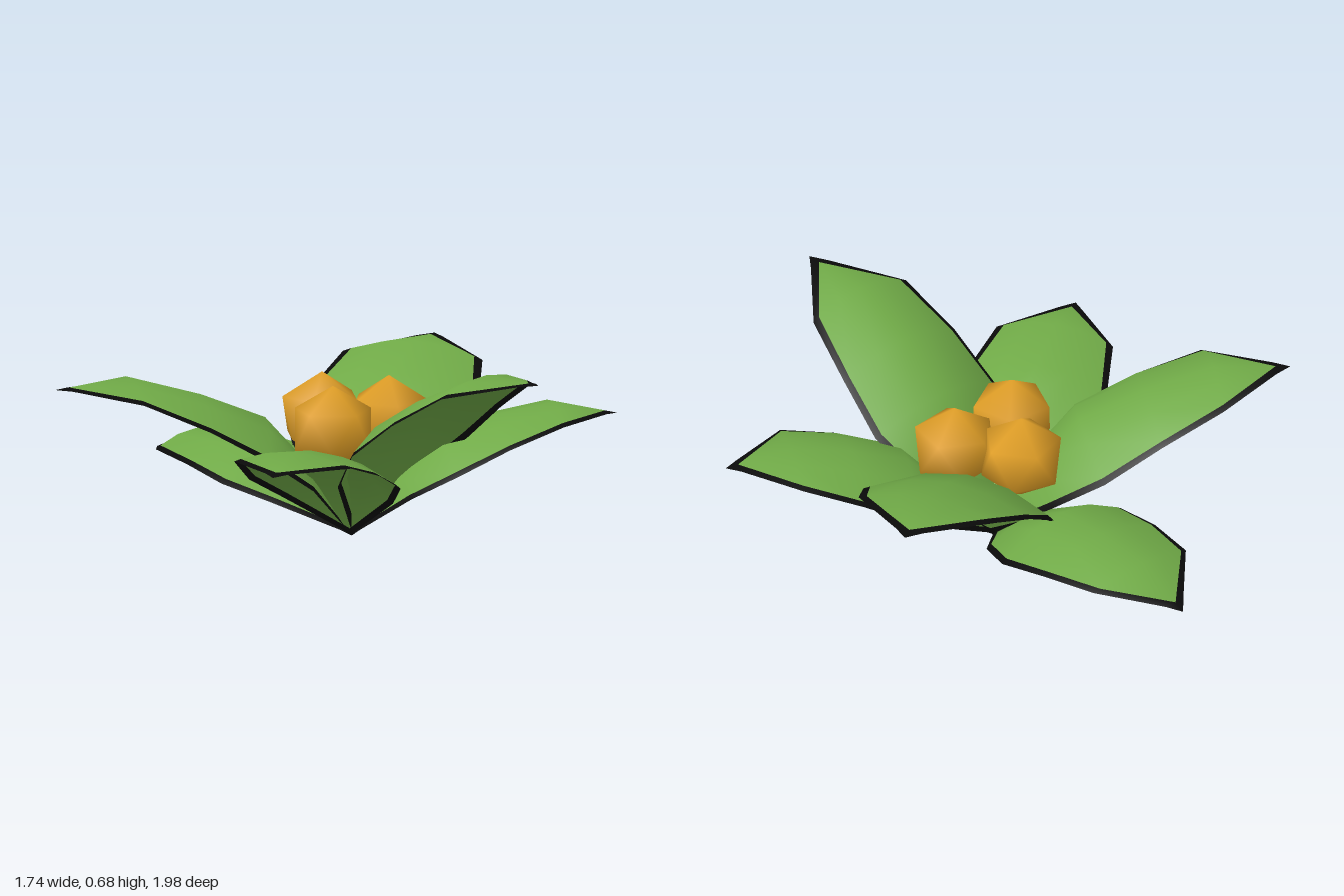
import * as THREE from 'three';
import { mergeVertices } from 'three/addons/utils/BufferGeometryUtils.js';

const leafGreen = new THREE.MeshStandardMaterial({ color: 0x70aa47, side: THREE.DoubleSide });
leafGreen.name = 'leafGreen';
const edgeBlack = new THREE.MeshStandardMaterial({ color: 0x0a0a0a, side: THREE.DoubleSide });
edgeBlack.name = 'edgeBlack';
const berryOrange = new THREE.MeshStandardMaterial({ color: 0xe2a027 });
berryOrange.name = 'berryOrange';

// Leaf cross-sections from base to tip:
// ridge reach, ridge height, edge reach, edge height, half width, border width
const SECTIONS = [
  [0, 0, 0, 0, 0, 0],
  [0.03, 0.024, 0.03, 0.018, 0.025, 0.025],
  [0.2, 0.17, 0.2, 0.115, 0.2, 0.022],
  [0.37, 0.265, 0.37, 0.165, 0.275, 0.02],
  [0.58, 0.275, 0.57, 0.2, 0.255, 0.02],
  [0.8, 0.26, 0.78, 0.215, 0.212, 0.025],
  [0.97, 0.18, 0.965, 0.175, 0.04, 0.04],
  [1.01, 0.16, 1.01, 0.16, 0, 0],
];

// Arched leaf growing along +z, with a dark border as a second material group
function leafGeometry(length, width) {
  const positions = [];
  for (const [rz, ry, ez, ey, half, border] of SECTIONS) {
    const inner = half > 0 ? Math.max(0, 1 - border / half) : 0;
    for (const u of [-1, -inner, -inner / 2, 0, inner / 2, inner, 1]) {
      const k = u * u;
      positions.push(
        u * half * width,
        THREE.MathUtils.lerp(ry, ey, k) * length,
        THREE.MathUtils.lerp(rz, ez, k) * length
      );
    }
  }
  const index = [];
  const addColumn = (c) => {
    for (let i = 0; i < SECTIONS.length - 1; i++) {
      const a = i * 7 + c, b = a + 1, d = a + 7, e = a + 8;
      index.push(a, d, b, b, d, e);
    }
  };
  [1, 2, 3, 4].forEach(addColumn);
  const blade = index.length;
  [0, 5].forEach(addColumn);

  let geo = new THREE.BufferGeometry();
  geo.setAttribute('position', new THREE.Float32BufferAttribute(positions, 3));
  geo.setIndex(index);
  geo = mergeVertices(geo);
  geo.clearGroups();
  geo.addGroup(0, blade, 0);
  geo.addGroup(blade, index.length - blade, 1);
  geo.computeVertexNormals();
  return geo;
}

// Low-poly berry standing on one corner, smoothly shaded
function berryGeometry(radius) {
  let geo = new THREE.IcosahedronGeometry(radius, 0);
  geo.deleteAttribute('normal');
  geo.deleteAttribute('uv');
  geo = mergeVertices(geo);
  geo.rotateZ(-Math.atan(2 / (1 + Math.sqrt(5))));
  geo.computeVertexNormals();
  return geo;
}

export function createModel() {
  const model = new THREE.Group();
  model.name = 'berryPlant';

  // Two whorls of three leaves: name, yaw, pitch (degrees), length, width
  const leaves = [
    ['frontLeaf', 0, 26, 1.155, 1.0],
    ['backLeftLeaf', 120, 21, 1.05, 1.2],
    ['backRightLeaf', -120, 19, 1.166, 0.97],
    ['frontLeftLeaf', 61, 13.5, 1.0, 0.97],
    ['frontRightLeaf', -59, 13.5, 0.99, 1.0],
    ['backLeaf', 180, 0, 1.0, 1.0],
  ];
  for (const [name, yaw, pitch, length, width] of leaves) {
    const leaf = new THREE.Mesh(leafGeometry(length, width), [leafGreen, edgeBlack]);
    leaf.name = name;
    leaf.position.set(0.045, 0, 0.015);
    leaf.rotation.set(
      -THREE.MathUtils.degToRad(pitch), THREE.MathUtils.degToRad(yaw), 0, 'YXZ'
    );
    model.add(leaf);
  }

  // Three berries nestled in the middle
  const berry = berryGeometry(0.155);
  [['backBerry', 0.055, -0.15], ['rightBerry', -0.085, 0.062], ['leftBerry', 0.185, 0.052]]
    .forEach(([name, x, z], i) => {
      const mesh = new THREE.Mesh(berry, berryOrange);
      mesh.name = name;
      mesh.position.set(x, 0.4, z);
      mesh.rotation.y = i * 2.1;
      model.add(mesh);
    });

  return model;
}
